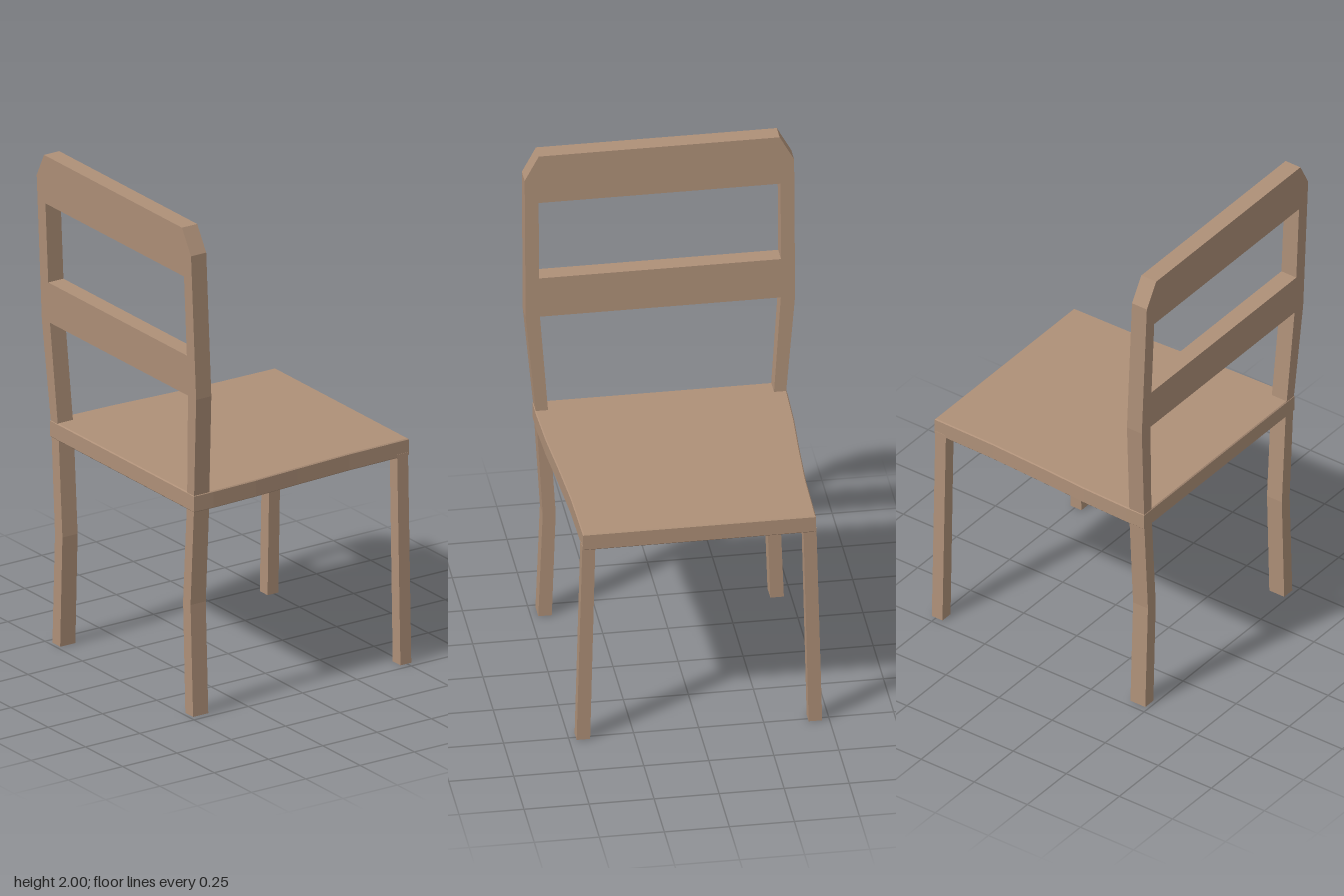
import * as THREE from 'three';

const wood = new THREE.MeshStandardMaterial({ color: 0xae9078 });
wood.name = 'wood';

const toShape = (pts) => new THREE.Shape(pts.map(([a, b]) => new THREE.Vector2(a, b)));

// Extrudes an outline drawn in (z, y) along x, ending at xFront
function sidePanel(shape, thickness, xFront) {
  const geo = new THREE.ExtrudeGeometry(shape, { depth: thickness, bevelEnabled: false });
  geo.rotateY(-Math.PI / 2);
  geo.translate(xFront, 0, 0);
  return geo;
}

export function createModel() {
  const chair = new THREE.Group();
  chair.name = 'chair';
  const add = (name, geo) => {
    const mesh = new THREE.Mesh(geo, wood);
    mesh.name = name;
    chair.add(mesh);
  };

  // Seat: a board tapering gently to the front, with tiny softened edges
  const side = [[-0.488, 0.483], [-0.4, 0.484], [-0.2, 0.478], [0, 0.465], [0.25, 0.452], [0.525, 0.448]];
  const mirrored = side.map(([x, z]) => [x, -z]).reverse();
  const seat = new THREE.ExtrudeGeometry(toShape([...side, ...mirrored]), {
    depth: 0.062, bevelThickness: 0.004, bevelSize: 0.004, bevelOffset: -0.004, bevelSegments: 1,
  });
  seat.rotateX(Math.PI / 2);
  seat.translate(0, 0.901, 0);
  add('seat', seat);

  // Legs: front pair splayed straight, back pair slightly bowed inward
  for (const [label, s] of [['Left', 1], ['Right', -1]]) {
    const front = [[0.42, 0], [0.472, 0], [0.45, 0.85], [0.4, 0.85]];
    const back = [[0.42, 0], [0.472, 0], [0.455, 0.45], [0.48, 0.88], [0.432, 0.88], [0.405, 0.45]];
    const flip = (pts) => toShape(pts.map(([z, y]) => [z * s, y]));
    add('frontLeg' + label, sidePanel(flip(front), 0.05, 0.52));
    add('backLeg' + label, sidePanel(flip(back), 0.07, -0.415));
  }

  // Backrest: posts, middle rail and clipped top rail in one leaning frame
  const outer = [[0.432, 0.87], [0.478, 0.87], [0.518, 1.31], [0.518, 1.9], [0.463, 2]];
  const half = [[0.463, 1.31], ...outer];
  const frame = toShape([...half, ...half.map(([z, y]) => [-z, y]).reverse()]);
  const hole = [[-0.465, 1.475], [-0.465, 1.8], [0.465, 1.8], [0.465, 1.475]];
  frame.holes.push(new THREE.Path(hole.map(([z, y]) => new THREE.Vector2(z, y))));
  const backrest = sidePanel(frame, 0.07, -0.415);
  const pos = backrest.attributes.position;
  for (let i = 0; i < pos.count; i++) {
    pos.setX(i, pos.getX(i) - ((pos.getY(i) - 0.87) / 1.13) * 0.045);
  }
  backrest.computeVertexNormals();
  add('backrest', backrest);

  return chair;
}
